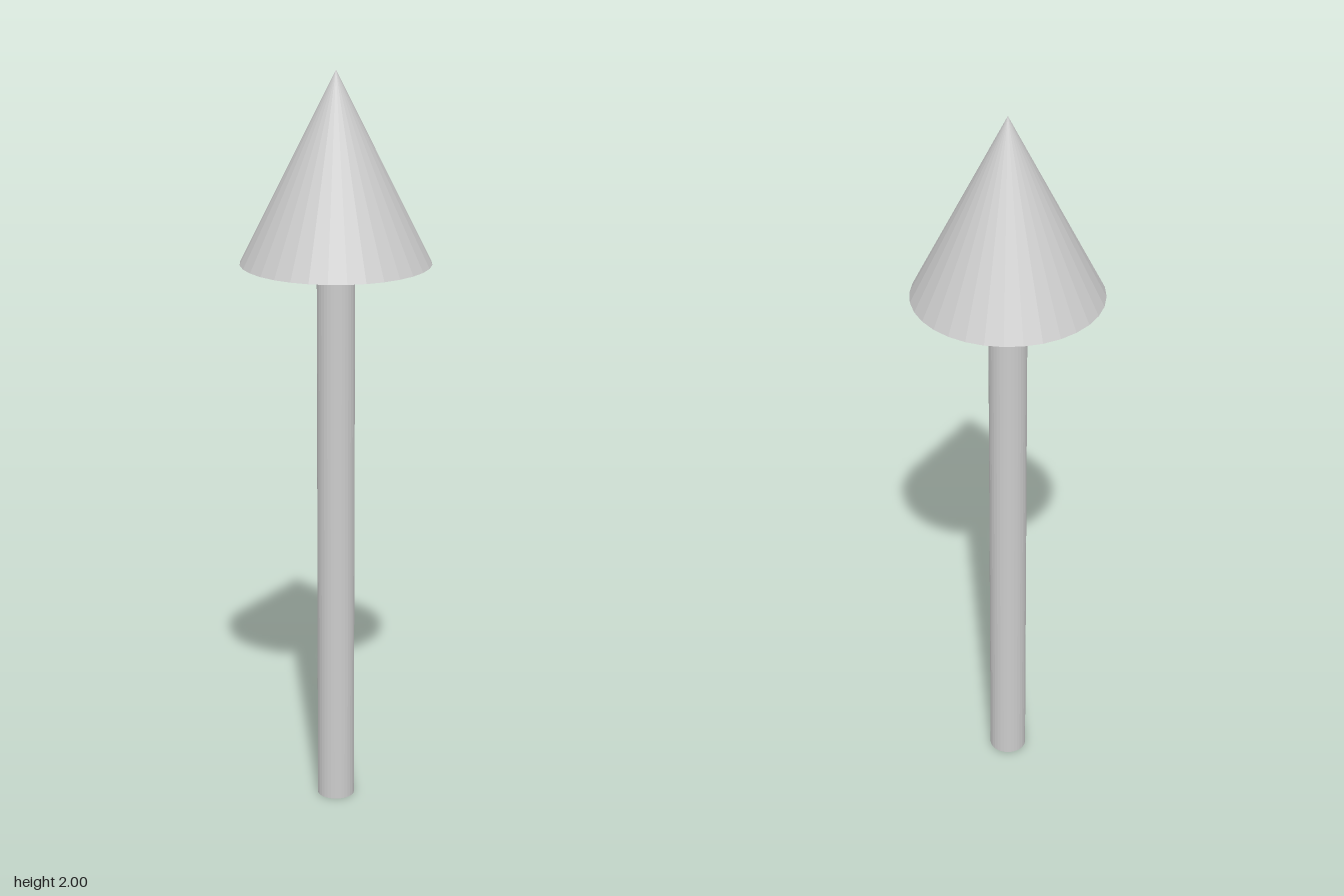
import * as THREE from 'three';

const SIDES = 32;

export function createModel() {
  const group = new THREE.Group();
  group.name = 'arrow';
  const material = new THREE.MeshStandardMaterial({ color: 0xcccccc, flatShading: true });

  const addPart = (name, geometry, y) => {
    const mesh = new THREE.Mesh(geometry, material);
    mesh.name = name;
    mesh.position.y = y;
    group.add(mesh);
  };

  // Slim round shaft, standing on the ground
  addPart('shaft', new THREE.CylinderGeometry(0.05, 0.05, 1.5, SIDES), 0.75);

  // Conical head with a closed base
  addPart('arrowHead', new THREE.ConeGeometry(0.25, 0.5, SIDES), 1.75);

  return group;
}
